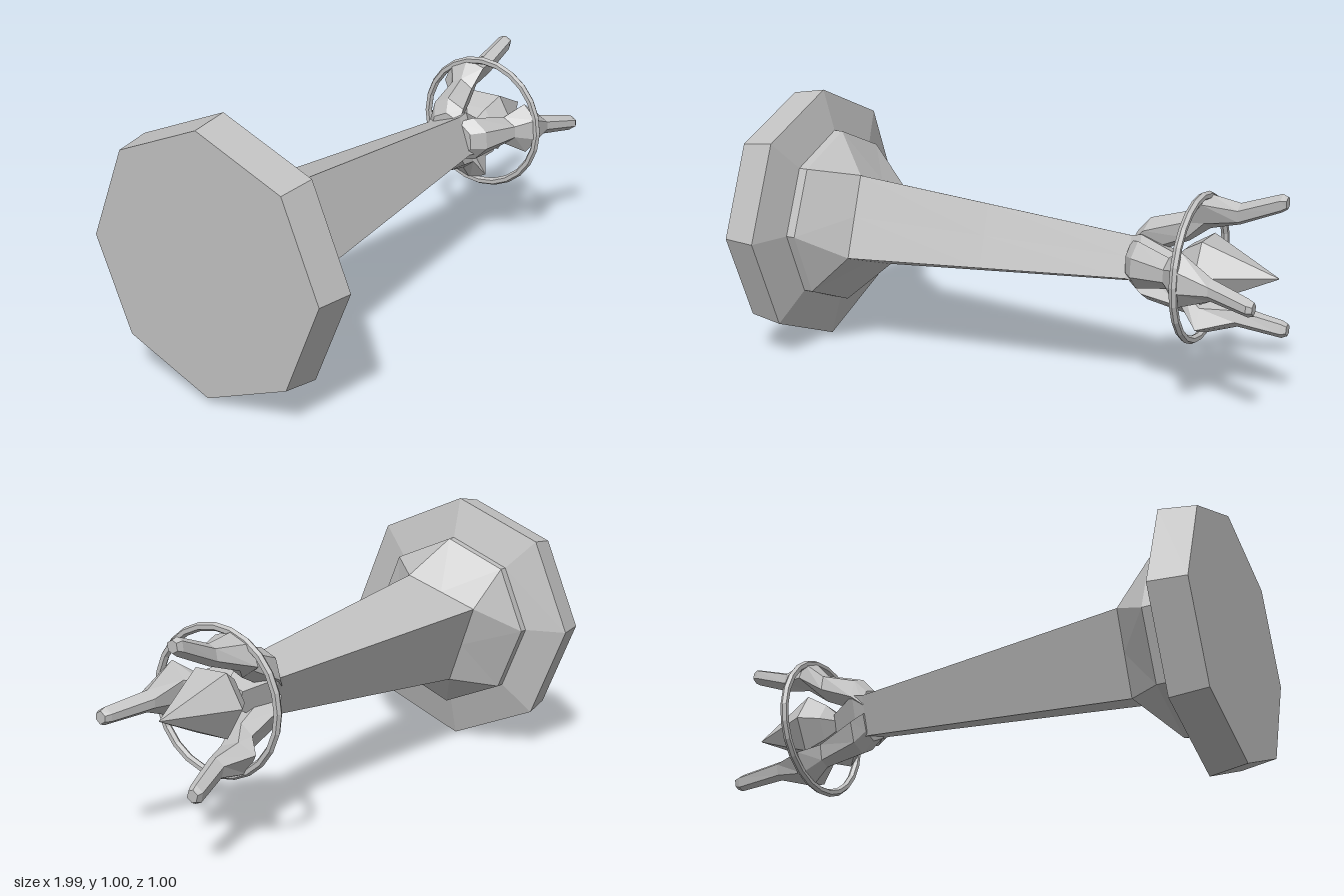
import * as THREE from 'three';

const grey = new THREE.MeshStandardMaterial({ color: 0xc0c0c0, flatShading: true });
grey.name = 'stone grey';
const CY = 0.4975; // height of the long axis
const rad = THREE.MathUtils.degToRad;

// Closed loft along x. Each section is { x, pts }, pts = [u, v] counter-clockwise seen from +x.
function loft(name, sections) {
  const pos = [];
  const tri = (...c) => c.forEach(([x, u, v]) => pos.push(x, CY + v, -u));
  const rings = sections.map(s => s.pts.map(p => [s.x, p[0], p[1]]));
  const n = rings[0].length;
  const mid = ring => [0, 1, 2].map(k => ring.reduce((sum, p) => sum + p[k], 0) / n);
  const first = rings[0], last = rings[rings.length - 1];
  for (let i = 0; i < n; i++) {
    const j = (i + 1) % n;
    for (let k = 0; k + 1 < rings.length; k++) {
      const a = rings[k], b = rings[k + 1];
      tri(a[i], a[j], b[j]);
      tri(a[i], b[j], b[i]);
    }
    tri(mid(first), first[j], first[i]);
    tri(mid(last), last[i], last[j]);
  }
  const geo = new THREE.BufferGeometry();
  geo.setAttribute('position', new THREE.Float32BufferAttribute(pos, 3));
  geo.computeVertexNormals();
  const mesh = new THREE.Mesh(geo, grey);
  mesh.name = name;
  return mesh;
}

// Regular polygon section
const polygon = (x, r, n, turn = 0) => ({
  x,
  pts: Array.from({ length: n }, (_, i) => {
    const a = rad(turn + i * 360 / n);
    return [r * Math.cos(a), r * Math.sin(a)];
  })
});

// Square section with eight points (corners and side midpoints)
const square = (x, r) => ({
  x,
  pts: Array.from({ length: 8 }, (_, i) => {
    const a = rad(-19 + i * 45), q = i % 2 ? r : r * Math.SQRT1_2;
    return [q * Math.cos(a), q * Math.sin(a)];
  })
});

// Six-sided section of a claw: radius, sideways shift, half widths
function clawSection(angle, [x, r, shift, halfR, halfT]) {
  const c = Math.cos(rad(angle)), s = Math.sin(rad(angle));
  const pts = [[1, -0.4], [1, 0.4], [0, 1], [-1, 0.4], [-1, -0.4], [0, -1]].map(([p, q]) => {
    const a = r + p * halfR, t = shift + q * halfT;
    return [a * c - t * s, a * s + t * c];
  });
  return { x, pts };
}

export function createModel() {
  const model = new THREE.Group();
  model.name = 'tower';

  // Octagonal foot, collar and slope into the square shaft
  model.add(loft('base', [
    polygon(-1, 0.476, 8), polygon(-0.865, 0.4975, 8), polygon(-0.82, 0.342, 8),
    polygon(-0.785, 0.342, 8), square(-0.64, 0.226)
  ]));
  model.add(loft('shaft', [square(-0.64, 0.226), square(-0.1, 0.169), square(0.46, 0.11)]));
  model.add(loft('neck', [square(0.46, 0.11), square(0.5, 0.12), square(0.62, 0.05)]));

  // Pointed crystal in the middle of the head
  model.add(loft('crystal', [
    polygon(0.61, 0.03, 6), polygon(0.66, 0.085, 6), polygon(0.73, 0.132, 6), polygon(0.99, 0.002, 6)
  ]));

  // Three claws around the crystal
  const profile = [
    [0.46, 0.05, 0, 0.05, 0.075],
    [0.5, 0.09, 0, 0.06, 0.085],
    [0.64, 0.145, 0, 0.05, 0.055],
    [0.7, 0.205, 0, 0.055, 0.1],
    [0.82, 0.205, 0.02, 0.035, 0.04],
    [0.97, 0.255, 0.048, 0.03, 0.032],
    [0.99, 0.257, 0.05, 0.02, 0.024]
  ];
  [65, 176, 289].forEach((angle, i) =>
    model.add(loft('claw' + (i + 1), profile.map(p => clawSection(angle, p)))));

  // Ring joining the claws
  const ring = new THREE.Mesh(new THREE.TorusGeometry(0.257, 0.015, 6, 24), grey);
  ring.name = 'ring';
  ring.rotation.y = Math.PI / 2;
  ring.position.set(0.703, CY, 0);
  model.add(ring);

  return model;
}
